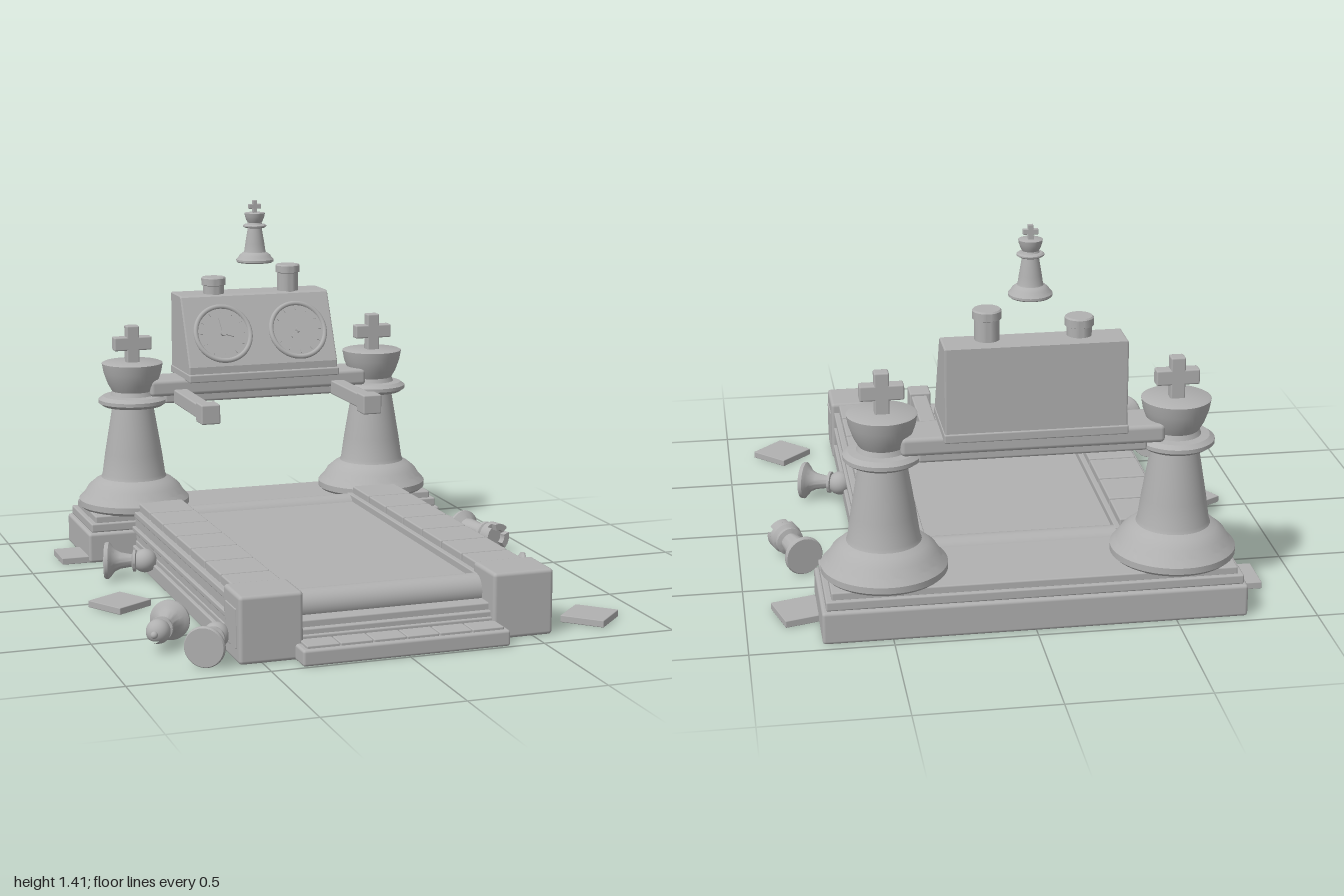
import * as THREE from 'three';
import { toCreasedNormals } from 'three/addons/utils/BufferGeometryUtils.js';
import { RoundedBoxGeometry } from 'three/addons/geometries/RoundedBoxGeometry.js';

const stone = new THREE.MeshStandardMaterial({ color: 0xb0b0b0 });
stone.name = 'grey stone';

function add(parent, name, geometry, x = 0, y = 0, z = 0) {
  const mesh = new THREE.Mesh(geometry, stone);
  mesh.name = name;
  mesh.position.set(x, y, z);
  parent.add(mesh);
  return mesh;
}

// Box given by its limits on each axis, with softened edges
function block(parent, name, [x0, x1], [y0, y1], [z0, z1], r = 0.006) {
  const w = x1 - x0, h = y1 - y0, d = z1 - z0;
  const geo = r ? new RoundedBoxGeometry(w, h, d, 2, r) : new THREE.BoxGeometry(w, h, d);
  return add(parent, name, geo, (x0 + x1) / 2, (y0 + y1) / 2, (z0 + z1) / 2);
}

function lathe(points, segments = 48) {
  return toCreasedNormals(new THREE.LatheGeometry(points.map(([r, y]) => new THREE.Vector2(r, y)), segments), 0.5);
}

function group(parent, name, x = 0, y = 0, z = 0) {
  const g = new THREE.Group();
  g.name = name;
  g.position.set(x, y, z);
  parent.add(g);
  return g;
}

// King with its base at the origin, 0.74 tall
function king(parent, name, x, y, z, scale = 1) {
  const g = group(parent, name, x, y, z);
  g.scale.setScalar(scale);
  add(g, 'kingBody', lathe([[0, 0], [0.21, 0], [0.223, 0.012], [0.223, 0.035], [0.205, 0.055], [0.2, 0.06],
    [0.185, 0.085], [0.155, 0.11], [0.132, 0.122], [0.127, 0.135], [0.115, 0.22], [0.083, 0.41], [0.12, 0.415],
    [0.138, 0.428], [0.138, 0.442], [0.12, 0.455], [0.09, 0.458], [0.083, 0.475], [0.1, 0.505], [0.116, 0.55],
    [0.123, 0.588], [0.115, 0.592], [0, 0.592]]));
  block(g, 'crossUpright', [-0.026, 0.026], [0.58, 0.74], [-0.024, 0.024]);
  block(g, 'crossArms', [-0.077, 0.077], [0.64, 0.695], [-0.024, 0.024]);
}

// Small piece lying down, from its base centre towards its head
function lyingPiece(parent, name, bx, bz, hx, hz) {
  const g = group(parent, name, bx, 0.083, bz);
  g.quaternion.setFromUnitVectors(new THREE.Vector3(0, 1, 0), new THREE.Vector3(hx - bx, 0, hz - bz).normalize());
  return g;
}
const foot = [[0, 0], [0.068, 0], [0.072, 0.006], [0.072, 0.016], [0.06, 0.026], [0.044, 0.038]];

function pawn(parent, bx, bz, hx, hz, notched) {
  const g = lyingPiece(parent, notched ? 'bishop' : 'pawn', bx, bz, hx, hz);
  add(g, 'pieceBody', lathe([...foot, [0.032, 0.06], [0.024, 0.105], [0.042, 0.11], [0.042, 0.12], [0.022, 0.125], [0, 0.14]], 32));
  if (notched) {
    // Head left open by a narrow wedge
    const head = add(g, 'notchedHead', new THREE.SphereGeometry(0.043, 28, 16, 0.3, Math.PI * 2 - 0.6), 0, 0.155, 0);
    head.rotation.x = 0.7;
    add(g, 'headCore', new THREE.SphereGeometry(0.03, 20, 12), 0, 0.155, 0);
    add(g, 'headTip', new THREE.SphereGeometry(0.013, 14, 10), 0, 0.203, 0);
  } else {
    add(g, 'head', new THREE.SphereGeometry(0.046, 28, 18), 0, 0.155, 0);
  }
}

function rook(parent, bx, bz, hx, hz) {
  const g = lyingPiece(parent, 'rook', bx, bz, hx, hz);
  add(g, 'rookBody', lathe([...foot, [0.044, 0.06], [0.036, 0.14], [0.052, 0.146], [0.052, 0.16], [0.044, 0.165],
    [0.058, 0.18], [0.058, 0.205], [0, 0.205]], 32));
  for (let i = 0; i < 4; i++) {
    const arc = new THREE.Shape();
    arc.absarc(0, 0, 0.058, 0.2, Math.PI / 2 - 0.2, false);
    arc.absarc(0, 0, 0.032, Math.PI / 2 - 0.2, 0.2, true);
    const merlon = add(g, 'battlement', new THREE.ExtrudeGeometry(arc, { depth: 0.03, bevelEnabled: false, curveSegments: 6 }), 0, 0.2, 0);
    merlon.rotation.set(-Math.PI / 2, 0, i * Math.PI / 2 + Math.PI / 4);
  }
}

function dial(parent, x, handAngles) {
  const g = group(parent, 'dial', x, 0.885, -0.694);
  g.rotation.x = -0.45;
  const disc = (name, r, depth, z) => { add(g, name, new THREE.CylinderGeometry(r, r, depth, 48), 0, 0, z).rotation.x = Math.PI / 2; };
  disc('dialFace', 0.116, 0.04, 0);
  add(g, 'dialRim', new THREE.TorusGeometry(0.114, 0.01, 10, 48), 0, 0, 0.018);
  disc('dialHub', 0.012, 0.014, 0.025);
  for (let i = 0; i < 12; i++) {
    const a = i * Math.PI / 6;
    const tick = add(g, 'hourMark', new THREE.BoxGeometry(0.004, 0.012, 0.005), Math.sin(a) * 0.092, Math.cos(a) * 0.092, 0.021);
    tick.rotation.z = -a;
  }
  handAngles.forEach((a, i) => {
    const len = i ? 0.045 : 0.065;
    const hand = add(g, 'hand', new THREE.BoxGeometry(0.008, len, 0.006), Math.sin(a) * len / 2, Math.cos(a) * len / 2, 0.026);
    hand.rotation.z = -a;
  });
}

export function createModel() {
  const root = new THREE.Group();
  root.name = 'chessTreadmill';
  const g = group(root, 'treadmill', -0.005, -0.01, 0);

  // Rear plinth in stepped layers
  block(g, 'rearPlinth', [-0.75, 0.75], [0.01, 0.13], [-0.968, -0.58], 0.012);
  block(g, 'rearPlinthStep', [-0.735, 0.735], [0.13, 0.165], [-0.955, -0.595]);
  block(g, 'rearPlinthTop', [-0.715, 0.715], [0.16, 0.192], [-0.94, -0.61]);

  // Deck floor and ribbed side rails
  block(g, 'deckFloor', [-0.56, 0.56], [0.01, 0.09], [-0.62, 0.895]);
  for (const s of [-1, 1]) {
    const side = (a, b) => (s > 0 ? [a, b] : [-b, -a]);
    [[0.573, 0.01, 0.07], [0.556, 0.06, 0.13], [0.57, 0.125, 0.145], [0.556, 0.14, 0.19], [0.568, 0.187, 0.212]].forEach(([w, y0, y1]) =>
      block(g, 'sideRail', side(0.36, w), [y0, y1], [-0.6, 0.8], 0.005));
    // Row of square tiles on the rail
    for (let i = 0; i < 8; i++) {
      const z = -0.786 + i * 0.195;
      if (i > 0) block(g, 'railTile', side(0.364, 0.547), [0.205, 0.243], [z + 0.004, z + 0.189]);
    }
    // Front corner post with panel
    block(g, 'cornerPost', side(0.35, 0.579), [0.01, 0.25], [0.72, 0.91], 0.014);
    block(g, 'cornerPanel', side(0.57, 0.583), [0.06, 0.2], [0.755, 0.875], 0.003);
    block(g, 'railInnerLip', side(0.345, 0.368), [0.1, 0.215], [-0.6, 0.76], 0.004);

    king(g, 'kingColumn', s * 0.515, 0.19, -0.775);

    // Forward handle
    block(g, 'handleArm', side(0.306, 0.364), [0.615, 0.672], [-0.7, -0.3]);
    block(g, 'handleGrip', side(0.294, 0.37), [0.605, 0.682], [-0.35, -0.266]);
  }

  // Running belt around two rollers
  block(g, 'belt', [-0.355, 0.355], [0.08, 0.19], [-0.6, 0.74], 0.004);
  for (const z of [-0.58, 0.752])
    add(g, 'roller', new THREE.CylinderGeometry(0.056, 0.056, 0.72, 32), 0, 0.158, z).rotation.z = Math.PI / 2;
  block(g, 'frontApron', [-0.36, 0.36], [0.08, 0.135], [0.74, 0.865]);
  block(g, 'frontApronLip', [-0.36, 0.36], [0.08, 0.11], [0.84, 0.885]);

  // Tiled front step
  block(g, 'frontStep', [-0.38, 0.38], [0.01, 0.068], [0.84, 0.995], 0.01);
  for (let i = 0; i < 6; i++) {
    const x = -0.363 + i * 0.121;
    block(g, 'stepTile', [x + 0.002, x + 0.119], [0.06, 0.078], [0.862, 0.978], 0.004);
  }

  // Crossbar between the kings
  block(g, 'crossbar', [-0.46, 0.46], [0.645, 0.712], [-0.865, -0.69], 0.016);
  block(g, 'crossbarUnderside', [-0.4, 0.4], [0.615, 0.66], [-0.85, -0.7], 0.01);

  // Twin-dial clock with a sloped front
  const profile = new THREE.Shape([[0.905, 0.735], [0.64, 0.735], [0.64, 0.765], [0.765, 1.03], [0.775, 1.036], [0.905, 1.036]]
    .map(([z, y]) => new THREE.Vector2(z, y)));
  const body = add(g, 'clockBody', new THREE.ExtrudeGeometry(profile, {
    depth: 0.616, bevelThickness: 0.006, bevelSize: 0.004, bevelSegments: 2 }), -0.308, 0, 0);
  body.rotation.y = Math.PI / 2;
  block(g, 'clockBase', [-0.317, 0.317], [0.706, 0.738], [-0.915, -0.622], 0.005);
  dial(g, -0.16, [-0.15, 1.9]);
  dial(g, 0.158, [0.25, 3.9]);
  for (const [x, top] of [[-0.16, 1.108], [0.157, 1.148]]) {
    add(g, 'clockButton', lathe([[0.043, 1.02], [0.043, top - 0.035], [0.05, top - 0.032], [0.05, top - 0.005],
      [0.045, top], [0, top]], 32), x, 0, -0.812);
  }
  king(g, 'floatingKing', 0, 1.168, -0.757, 0.34);

  // Fallen pieces around the deck
  pawn(g, -0.745, -0.335, -0.6, -0.285);
  pawn(g, 0.73, 0.335, 0.58, 0.28);
  pawn(g, -0.7, 0.9, -0.62, 0.77);
  pawn(g, -0.715, 0.53, -0.8, 0.67, true);
  rook(g, 0.77, -0.39, 0.84, -0.17);

  // Loose tiles on the floor
  for (const [x, z, a] of [[-0.785, 0.065, 0.55], [0.785, 0.78, Math.PI / 4], [-0.775, -0.675, 0], [0.81, -0.715, 0.27]])
    add(g, 'looseTile', new RoundedBoxGeometry(0.165, 0.026, 0.165, 1, 0.003), x, 0.023, z).rotation.y = a;

  return root;
}
